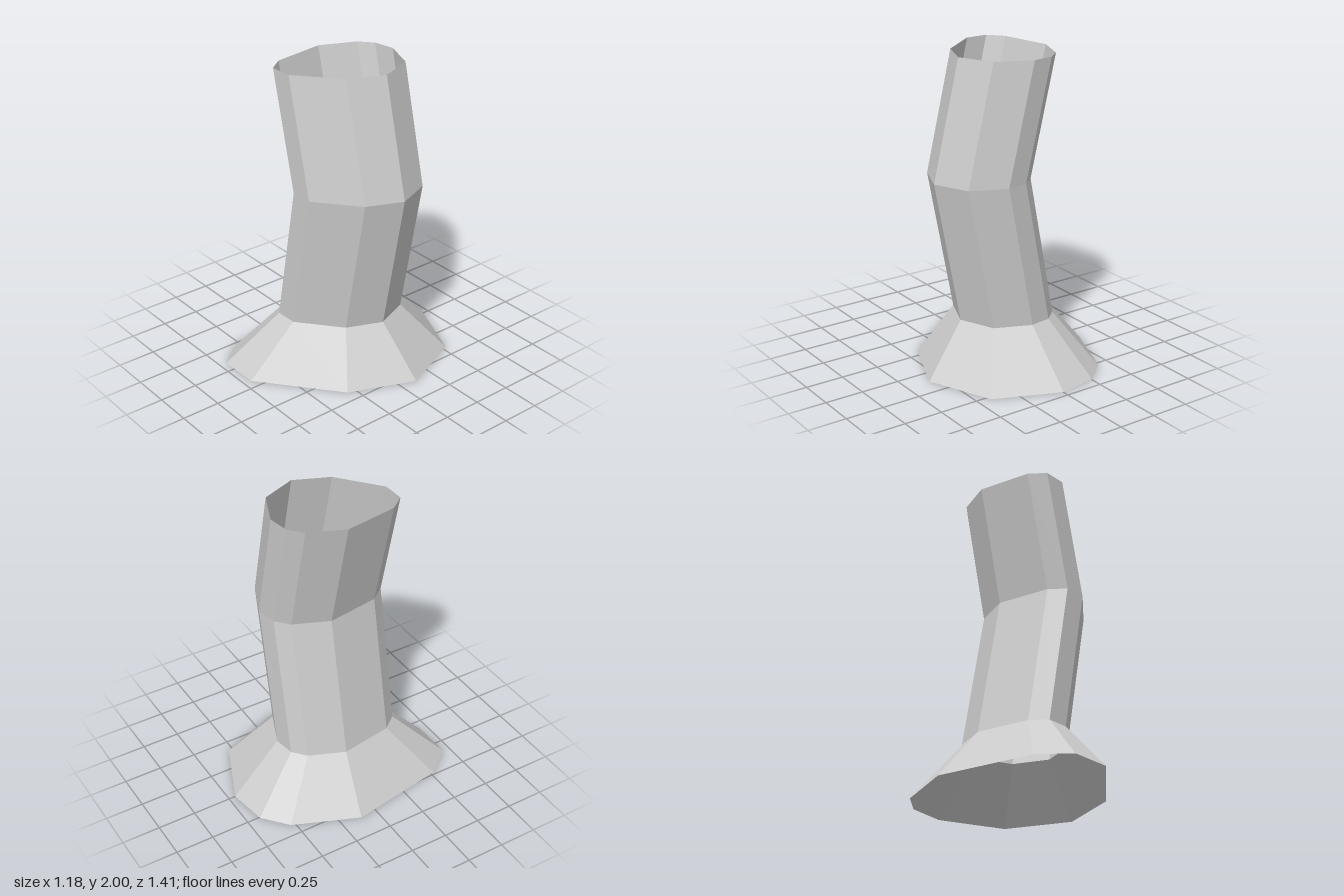
import * as THREE from 'three';

// Outline of the flared foot, [x, z], running from the back towards +x
const OUTLINE = [
  [0, -0.705], [0.415, -0.53], [0.588, -0.113], [0.415, 0.305], [-0.07, 0.697],
  [-0.34, 0.702], [-0.482, 0.522], [-0.59, -0.113], [-0.415, -0.53], [-0.256, -0.665],
];
const NECK = 0.545; // tube size relative to the foot

// Cross-section scaled by s, shifted sideways by dx, at height y
const ring = (y, s, dx) => OUTLINE.map(([x, z]) => [x * s + dx, y, z * s]);

// Open faceted wall between two rings
function wall(name, lower, upper, material) {
  const points = [];
  lower.forEach((a, i) => {
    const j = (i + 1) % lower.length;
    points.push(...a, ...upper[i], ...upper[j], ...a, ...upper[j], ...lower[j]);
  });
  const geometry = new THREE.BufferGeometry();
  geometry.setAttribute('position', new THREE.Float32BufferAttribute(points, 3));
  geometry.computeVertexNormals();
  const mesh = new THREE.Mesh(geometry, material);
  mesh.name = name;
  return mesh;
}

export function createModel() {
  const group = new THREE.Group();
  group.name = 'bentPipe';
  const material = new THREE.MeshStandardMaterial({
    color: 0xcccccc, flatShading: true, side: THREE.DoubleSide,
  });

  const foot = ring(0, 1, 0);
  const neck = ring(0.33, NECK, 0);
  const bend = ring(1.25, NECK, 0.18);
  const mouth = ring(2, NECK, 0);

  group.add(
    wall('flaredBase', foot, neck, material),
    wall('lowerTube', neck, bend, material),
    wall('upperTube', bend, mouth, material),
  );
  return group;
}
